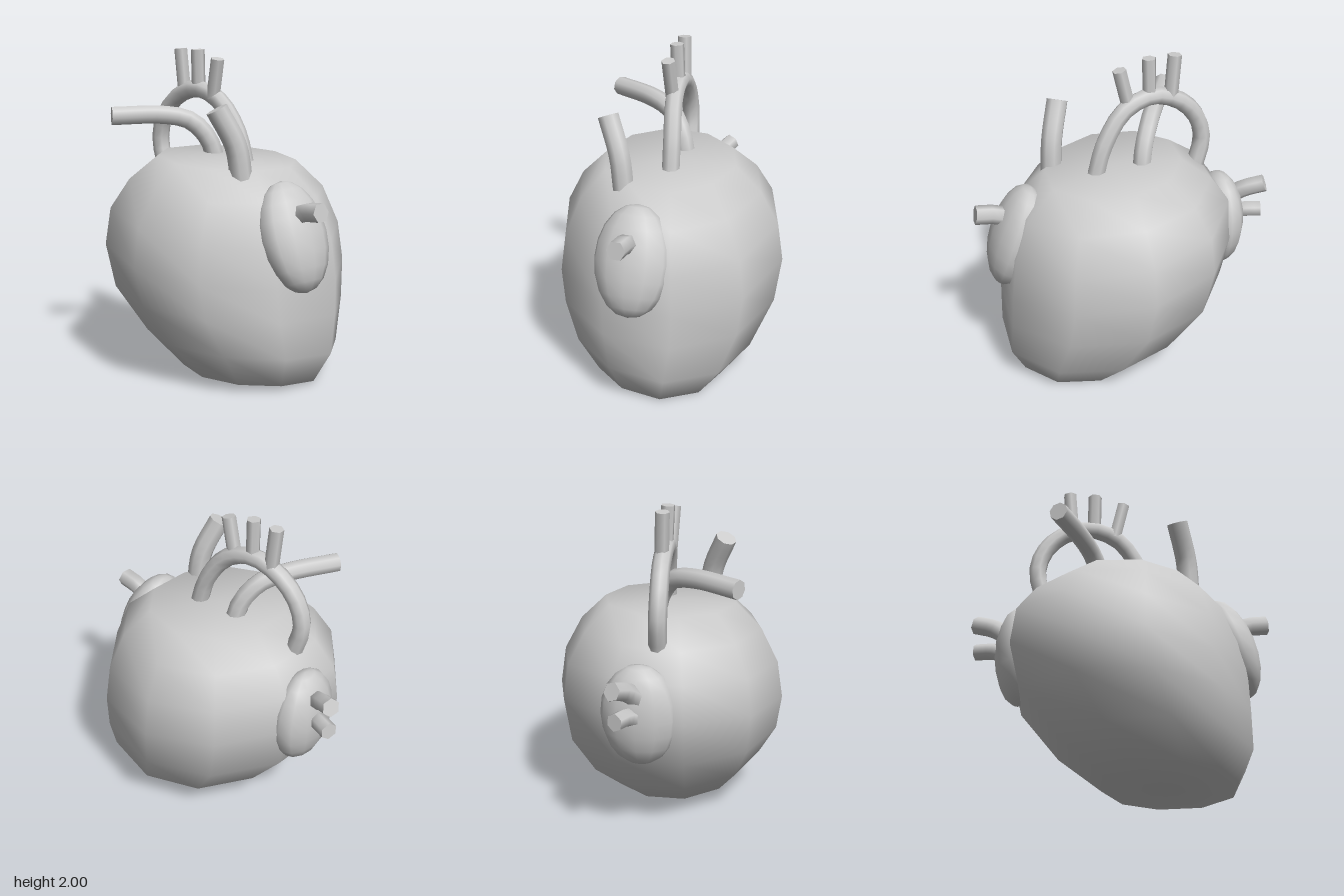
import * as THREE from 'three';

const material = new THREE.MeshStandardMaterial({ color: 0xcccccc });
const doubleSided = new THREE.MeshStandardMaterial({ color: 0xcccccc, side: THREE.DoubleSide });

function addMesh(parent, name, geometry, mat = material) {
  const mesh = new THREE.Mesh(geometry, mat);
  mesh.name = name;
  parent.add(mesh);
  return mesh;
}

// Ten-sided body lofted through tilted oval rings, closed at both ends
function bodyGeometry() {
  const sides = 10;
  const edge = Math.cos(Math.PI / 10);
  // left x, left y, right x, right y, half depth, forward tilt
  const rings = [
    [-0.35, 1.365, 0.48, 1.31, 0.42, 0],
    [-0.54, 1.22, 0.66, 1.14, 0.58, 0],
    [-0.66, 1.05, 0.75, 0.89, 0.69, 0],
    [-0.69, 0.82, 0.78, 0.65, 0.725, 0],
    [-0.62, 0.52, 0.79, 0.44, 0.69, 0.02],
    [-0.38, 0.23, 0.80, 0.21, 0.57, 0.04],
    [-0.11, 0.02, 0.71, 0.02, 0.41, 0.03],
  ];
  const points = [];
  const index = [];
  for (const [lx, ly, rx, ry, depth, tilt] of rings) {
    for (let j = 0; j < sides; j++) {
      const a = ((j + 0.5) / sides) * Math.PI * 2;
      const c = Math.cos(a), s = Math.sin(a);
      points.push(
        (lx + rx) / 2 + ((rx - lx) / 2 / edge) * c - 0.1 * depth * s * c * c,
        Math.max(0, (ly + ry) / 2 + ((ry - ly) / 2 / edge) * c + tilt * s),
        depth * s
      );
    }
  }
  const top = points.length / 3;
  points.push(0.065, 1.338, 0, 0.3, 0.0, 0);
  const last = (rings.length - 1) * sides;
  for (let j = 0; j < sides; j++) {
    const k = (j + 1) % sides;
    index.push(top, k, j, top + 1, last + j, last + k);
    for (let i = 0; i < rings.length - 1; i++) {
      const a = i * sides, b = a + sides;
      index.push(b + j, a + j, a + k, b + j, a + k, b + k);
    }
  }
  const geometry = new THREE.BufferGeometry();
  geometry.setAttribute('position', new THREE.Float32BufferAttribute(points, 3));
  geometry.setIndex(index);
  geometry.computeVertexNormals();
  return geometry;
}

// Curved vessel with a flat cap on its free end
function addVessel(parent, name, path, radius, sides = 8, segments = 8) {
  const group = new THREE.Group();
  group.name = name;
  parent.add(group);
  const curve = new THREE.CatmullRomCurve3(path.map((p) => new THREE.Vector3(...p)));
  const tube = new THREE.TubeGeometry(curve, segments, radius, sides);
  addMesh(group, name + 'Wall', tube, doubleSided);

  const end = tube.attributes.position;
  const first = segments * (sides + 1);
  const rim = [];
  for (let j = 0; j < sides; j++) {
    rim.push(new THREE.Vector3().fromBufferAttribute(end, first + j));
  }
  const cap = [];
  for (let j = 1; j < sides - 1; j++) {
    for (const p of [rim[0], rim[j + 1], rim[j]]) cap.push(p.x, p.y, p.z);
  }
  const geometry = new THREE.BufferGeometry();
  geometry.setAttribute('position', new THREE.Float32BufferAttribute(cap, 3));
  geometry.computeVertexNormals();
  addMesh(group, name + 'Cap', geometry, doubleSided);
}

// Rounded side chamber
function addAtrium(parent, name, position, radii, tilt) {
  const mesh = addMesh(parent, name, new THREE.SphereGeometry(1, 12, 10));
  mesh.position.set(...position);
  mesh.scale.set(...radii);
  mesh.rotation.z = tilt;
}

export function createModel() {
  const heart = new THREE.Group();
  heart.name = 'heart';

  addMesh(heart, 'ventricles', bodyGeometry());
  addAtrium(heart, 'leftAtrium', [0.70, 0.935, 0.04], [0.15, 0.34, 0.24], 0.35);
  addAtrium(heart, 'rightAtrium', [-0.64, 0.84, -0.05], [0.15, 0.32, 0.24], 0.03);

  // Aortic arch and its three branches
  addVessel(heart, 'aorticArch', [
    [0.20, 1.27, -0.04], [0.13, 1.5, -0.03], [-0.01, 1.69, 0], [-0.2, 1.752, 0.02],
    [-0.38, 1.69, 0.03], [-0.5, 1.56, 0.04], [-0.545, 1.4, 0.04], [-0.49, 1.18, 0.03],
  ], 0.056, 8, 18);
  const branches = [
    [-0.32, 1.72, -0.345, 2.0], [-0.18, 1.74, -0.177, 2.0], [-0.045, 1.7, 0.012, 1.95],
  ];
  branches.forEach(([x0, y0, x1, y1], i) => {
    addVessel(heart, 'archBranch' + (i + 1), [[x0, y0, 0.02], [x1, y1, 0.03]], 0.044, 6, 2);
  });

  // Large vessels rising from the top
  addVessel(heart, 'pulmonaryArtery', [
    [-0.10, 1.27, -0.06], [-0.13, 1.43, -0.02], [-0.2, 1.55, 0.07],
    [-0.29, 1.59, 0.21], [-0.46, 1.59, 0.5],
  ], 0.06, 8, 12);
  addVessel(heart, 'venaCava', [[0.41, 1.24, 0.19], [0.39, 1.46, 0.22], [0.32, 1.68, 0.31]], 0.068);

  // Short veins at the sides
  addVessel(heart, 'leftVein', [[0.68, 0.98, 0.05], [0.79, 1.09, 0.05], [0.94, 1.115, 0.06]], 0.06, 6, 6);
  addVessel(heart, 'rightUpperVein', [[-0.69, 0.94, -0.02], [-0.79, 1.04, -0.09], [-0.915, 1.09, -0.15]], 0.058, 6, 6);
  addVessel(heart, 'rightLowerVein', [[-0.69, 0.83, -0.02], [-0.79, 0.885, -0.09], [-0.905, 0.895, -0.14]], 0.055, 6, 6);

  return heart;
}
